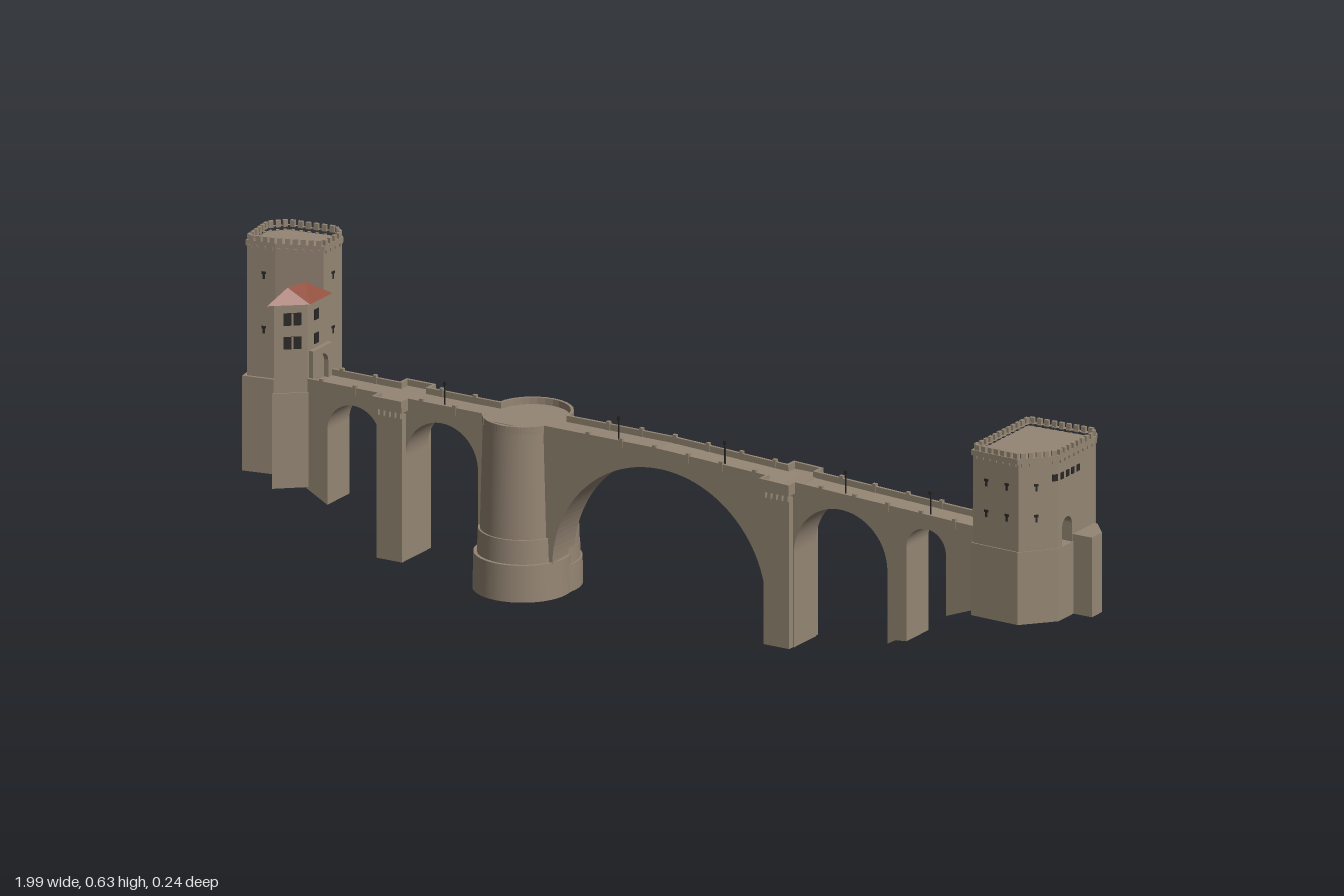
import * as THREE from 'three';
import { ConvexGeometry } from 'three/addons/geometries/ConvexGeometry.js';

const mat = (name, color) => Object.assign(new THREE.MeshStandardMaterial({ color }), { name });

export function createModel() {
  const stone = mat('stone', 0x958674);
  const dark = mat('dark opening', 0x2a2826);
  const tile = mat('roof tile', 0x8f4f3d);
  const model = new THREE.Group();
  model.name = 'fortifiedBridge';

  const add = (name, geo, material = stone, parent = model) => {
    const m = new THREE.Mesh(geo, material);
    m.name = name;
    parent.add(m);
    return m;
  };
  const box = (name, x0, x1, y0, y1, z0, z1, material = stone, parent = model) => {
    const m = add(name, new THREE.BoxGeometry(x1 - x0, y1 - y0, z1 - z0), material, parent);
    m.position.set((x0 + x1) / 2, (y0 + y1) / 2, (z0 + z1) / 2);
    return m;
  };
  // Plan outlines are [x, z] lists
  const grow = (poly, f) => {
    const cx = poly.reduce((s, p) => s + p[0], 0) / poly.length;
    const cz = poly.reduce((s, p) => s + p[1], 0) / poly.length;
    return poly.map(([x, z]) => [cx + (x - cx) * f, cz + (z - cz) * f]);
  };
  const toVec = poly => poly.map(([x, z]) => new THREE.Vector2(x, -z));
  const prism = (name, poly, y0, y1, parent, hole) => {
    const shape = new THREE.Shape(toVec(poly));
    if (hole) shape.holes.push(new THREE.Path(toVec(hole)));
    const geo = new THREE.ExtrudeGeometry(shape, { depth: y1 - y0, bevelEnabled: false });
    geo.rotateX(-Math.PI / 2).translate(0, y0, 0);
    return add(name, geo, stone, parent);
  };
  // Box laid along one edge of an outline, at fraction t
  const onEdge = (name, poly, i, t, y, w, h, d, material, parent) => {
    const a = poly[i], b = poly[(i + 1) % poly.length];
    const m = add(name, new THREE.BoxGeometry(w, h, d), material, parent);
    m.position.set(a[0] + (b[0] - a[0]) * t, y, a[1] + (b[1] - a[1]) * t);
    m.rotation.y = -Math.atan2(b[1] - a[1], b[0] - a[0]);
    return m;
  };
  const battlement = (poly, top, parent) => {
    const outer = grow(poly, 1.025);
    prism('parapetRing', outer, top - 0.022, top - 0.011, parent, grow(poly, 0.92));
    const line = grow(poly, 0.975);
    line.forEach((a, i) => {
      const b = line[(i + 1) % line.length];
      const n = Math.max(1, Math.round(Math.hypot(b[0] - a[0], b[1] - a[1]) / 0.0165));
      for (let k = 0; k < n; k++) {
        onEdge('merlon', line, i, (k + 0.5) / n, top - 0.007, 0.01, 0.014, 0.007, stone, parent);
        onEdge('corbel', poly, i, (k + 0.5) / n, top - 0.024, 0.006, 0.007, 0.006, stone, parent);
      }
    });
  };
  // Arrow slit shaped like a T
  const slit = (poly, i, t, y, parent) => {
    onEdge('slitHead', poly, i, t, y + 0.006, 0.009, 0.005, 0.004, dark, parent);
    onEdge('slit', poly, i, t, y, 0.004, 0.014, 0.004, dark, parent);
  };

  // ---- Bridge body with its arches ----
  const deckY = x => (x < 0 ? 0.35 : 0.35 - 0.042 * x);
  const mid = 0.0145, half = 0.0415;
  const s = new THREE.Shape();
  s.moveTo(-0.83, 0.35);
  s.lineTo(-0.83, 0.14);
  s.lineTo(-0.765, 0.105);
  const arch = (x0, x1, crown, foot) => {
    const r = (x1 - x0) / 2;
    s.lineTo(x0, crown - r);
    s.absarc((x0 + x1) / 2, crown - r, r, Math.PI, 0, true);
    s.lineTo(x1, foot);
  };
  arch(-0.765, -0.64, 0.325, 0.02);
  s.lineTo(-0.58, 0.02);
  arch(-0.58, -0.41, 0.325, 0);
  s.lineTo(-0.235, 0);
  arch(-0.235, 0.27, 0.32, 0);
  s.lineTo(0.335, 0);
  arch(0.335, 0.555, 0.31, 0.047);
  s.lineTo(0.575, 0.058);
  s.lineTo(0.6, 0.06);
  arch(0.6, 0.693, 0.305, 0.13);
  s.lineTo(0.8, 0.17);
  s.lineTo(0.8, deckY(0.8));
  s.lineTo(0, 0.35);
  const body = new THREE.ExtrudeGeometry(s, { depth: half * 2, bevelEnabled: false, curveSegments: 28 });
  add('archedBridge', body.translate(0, 0, mid - half));

  // ---- Buttressed piers with lookout bays on corbels ----
  const bays = [[-0.61, 0.02], [0.3025, 0]];
  for (const [x, foot] of bays) {
    const g = new THREE.Group();
    g.name = 'pierBay';
    model.add(g);
    const y = deckY(x);
    box('buttress', x - 0.03, x + 0.03, foot, y - 0.02, mid - 0.054, mid + 0.056, stone, g);
    box('bayFloor', x - 0.035, x + 0.035, y - 0.012, y, mid - 0.066, mid + 0.066, stone, g);
    for (const side of [-1, 1]) for (let k = -2; k <= 2; k++) {
      const z = mid + side * 0.057;
      box('corbel', x + k * 0.013 - 0.004, x + k * 0.013 + 0.004, y - 0.026, y - 0.01, z - 0.006, z + 0.006, stone, g);
    }
  }

  // ---- Round pier: plain stepped front, many-tiered back ----
  const rx = -0.327;
  const drum = (name, z, r0, r1, y0, y1) =>
    add(name, new THREE.CylinderGeometry(r1, r0, y1 - y0, 40)).position.set(rx, (y0 + y1) / 2, z);
  drum('frontBase', 0.02, 0.101, 0.099, 0, 0.077);
  drum('frontStep', 0.02, 0.092, 0.09, 0.077, 0.127);
  drum('frontDrum', 0.02, 0.086, 0.08, 0.127, 0.349);
  drum('backBase', -0.02, 0.1, 0.099, 0, 0.057);
  const tiers = 9, tierH = (0.349 - 0.057) / tiers;
  for (let i = 0; i < tiers; i++) {
    const r = 0.095 - i * 0.0018;
    drum('backTier', -0.02, r, r - 0.001, 0.057 + i * tierH, 0.057 + (i + 1) * tierH);
  }

  // ---- Parapets following the deck, bays and round pier ----
  const parapets = new THREE.Group();
  parapets.name = 'parapets';
  model.add(parapets);
  for (const side of [-1, 1]) {
    const e = half - 0.003, off0 = side > 0 ? 0.0025 : 0.0315;
    const path = [[-0.82, e]];
    const bay = x => path.push([x - 0.032, e], [x - 0.032, 0.063], [x + 0.032, 0.063], [x + 0.032, e]);
    bay(bays[0][0]);
    const t0 = Math.asin((e - off0) / 0.08);
    for (let k = 0; k <= 14; k++) {
      const t = Math.PI - t0 - (Math.PI - 2 * t0) * k / 14;
      path.push([rx + 0.08 * Math.cos(t), off0 + 0.08 * Math.sin(t)]);
    }
    path.push([0, e]);
    bay(bays[1][0]);
    path.push([0.8, e]);
    const pts = path.map(([x, o]) => new THREE.Vector3(x, deckY(x) + 0.005, mid + side * o));
    for (let i = 0; i + 1 < pts.length; i++) {
      const m = add('parapetWall', new THREE.BoxGeometry(0.006, 0.016, pts[i].distanceTo(pts[i + 1]) + 0.005), stone, parapets);
      m.position.copy(pts[i]).lerp(pts[i + 1], 0.5);
      m.lookAt(pts[i + 1]);
    }
    for (let x = -0.78; x < 0.79; x += 0.0785) {
      if (Math.abs(x - rx) < 0.1 || bays.some(b => Math.abs(x - b[0]) < 0.04)) continue;
      const z = mid + side * e, y = deckY(x);
      box('parapetPost', x - 0.004, x + 0.004, y - 0.002, y + 0.018, z - 0.004, z + 0.004, stone, parapets);
    }
  }

  // ---- Lamp posts ----
  for (const x of [-0.495, -0.085, 0.165, 0.45, 0.65]) {
    const y = deckY(x), z = mid + 0.03;
    box('lampPole', x - 0.0012, x + 0.0012, y, y + 0.058, z - 0.0012, z + 0.0012, dark);
    box('lampHead', x - 0.003, x + 0.003, y + 0.052, y + 0.06, z - 0.003, z + 0.003, dark);
  }

  // ---- Tall left tower ----
  const left = new THREE.Group();
  left.name = 'tallTower';
  model.add(left);
  const tall = [[-0.982, -0.062], [-0.95, -0.095], [-0.845, -0.11], [-0.818, -0.085],
    [-0.818, -0.015], [-0.91, 0.02], [-0.97, 0.031]];
  prism('towerBase', grow(tall, 1.1), 0.135, 0.335, left);
  prism('towerShaft', tall, 0.335, 0.61, left);
  battlement(tall, 0.632, left);
  for (const [i, t] of [[0, 0.5], [1, 0.3], [1, 0.75], [2, 0.5], [3, 0.5], [5, 0.4], [6, 0.5]])
    for (const y of [0.55, 0.435]) slit(tall, i, t, y, left);

  // ---- Turret with hipped tile roof ----
  const turret = new THREE.Group();
  turret.name = 'roofedTurret';
  model.add(turret);
  const tur = [[-0.875, -0.015], [-0.863, 0.1], [-0.812, 0.056], [-0.812, -0.018]];
  prism('turretBase', grow(tur, 1.08), 0.135, 0.335, turret);
  prism('turretShaft', tur, 0.335, 0.525, turret);
  add('turretRoof', new ConvexGeometry([
    [-0.886, -0.022, 0.522], [-0.87, 0.115, 0.522], [-0.803, 0.06, 0.522], [-0.803, -0.025, 0.522],
    [-0.85, 0.07, 0.552], [-0.84, 0.02, 0.552],
  ].map(([x, z, y]) => new THREE.Vector3(x, y, z))), tile, turret);
  for (const y of [0.49, 0.44]) {
    onEdge('turretWindow', tur, 1, 0.55, y, 0.036, 0.026, 0.004, dark, turret);
    onEdge('turretMullion', tur, 1, 0.55, y, 0.004, 0.026, 0.007, stone, turret);
    onEdge('turretSideWindow', tur, 2, 0.45, y, 0.016, 0.022, 0.004, dark, turret);
  }

  // ---- Arched frame: wall panel with a round-headed opening, extruded along x ----
  const archPanel = (name, x0, x1, z0, z1, y0, y1, w, crown, parent) => {
    const c = -(z0 + z1) / 2, r = w / 2;
    const p = new THREE.Shape();
    p.moveTo(-z1, y0);
    p.lineTo(c - r, y0);
    p.lineTo(c - r, crown - r);
    p.absarc(c, crown - r, r, Math.PI, 0, true);
    p.lineTo(c + r, y0);
    p.lineTo(-z0, y0);
    p.lineTo(-z0, y1);
    p.lineTo(-z1, y1);
    const geo = new THREE.ExtrudeGeometry(p, { depth: x1 - x0, bevelEnabled: false });
    add(name, geo.rotateY(Math.PI / 2).translate(x0, 0, 0), stone, parent);
  };
  archPanel('leftGateFrame', -0.815, -0.802, -0.022, 0.05, 0.348, 0.42, 0.042, 0.405, left);

  // ---- Right gate tower ----
  const right = new THREE.Group();
  right.name = 'gateTower';
  model.add(right);
  const gate = [[0.79, -0.1], [0.945, -0.108], [0.955, -0.085], [0.955, 0.052], [0.9, 0.114], [0.79, 0.11]];
  prism('gateBase', grow(gate, 1.025), 0.165, 0.318, right);
  prism('gateFrontWall', [[0.79, 0.042], [0.955, 0.042], ...gate.slice(3)], 0.318, 0.38, right);
  prism('gateBackWall', [...gate.slice(0, 3), [0.955, -0.005], [0.79, -0.005]], 0.318, 0.38, right);
  archPanel('gatePassage', 0.79, 0.955, -0.005, 0.042, 0.318, 0.38, 0.037, 0.376, right);
  prism('gateUpperShaft', gate, 0.38, 0.505, right);
  battlement(gate, 0.525, right);
  prism('gateSideBastion', [[0.95, -0.085], [0.962, -0.085], [1, -0.042], [1, -0.003], [0.95, -0.003]], 0.165, 0.333, right);
  for (let k = 0; k < 5; k++) {
    const z = 0.058 - k * 0.02;
    if (k > 0) box('gateWindow', 0.953, 0.957, 0.461, 0.475, z - 0.005, z + 0.005, dark, right);
    else onEdge('gateWindow', gate, 3, 0.08, 0.468, 0.012, 0.014, 0.004, dark, right);
    box('gateInnerWindow', 0.788, 0.792, 0.461, 0.475, z - 0.007, z + 0.003, dark, right);
  }
  for (const [i, t] of [[4, 0.25], [4, 0.7], [3, 0.55], [0, 0.3], [0, 0.75]])
    for (const y of [0.45, 0.385]) slit(gate, i, t, y, right);

  return model;
}
